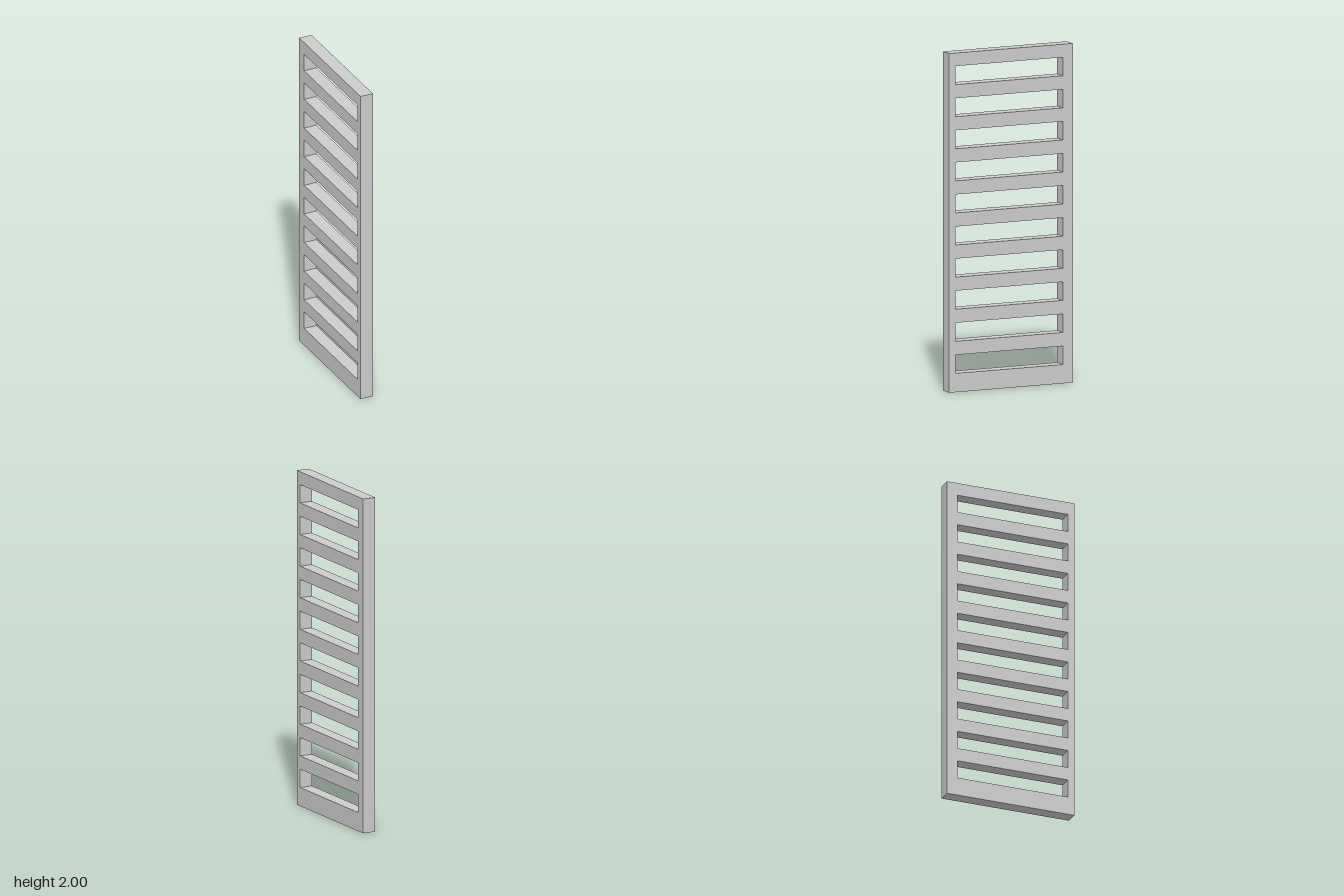
import * as THREE from 'three';

const WIDTH = 0.8, HEIGHT = 2, THICKNESS = 0.08;
const SLOTS = 10, SLOT_HEIGHT = 0.109, SLOT_PITCH = 0.1892, FIRST_SLOT = 0.111;

// Traces a rectangle on a Shape or Path
function rectangle(path, x0, y0, x1, y1) {
  path.moveTo(x0, y0);
  path.lineTo(x1, y0);
  path.lineTo(x1, y1);
  path.lineTo(x0, y1);
  path.closePath();
  return path;
}

export function createModel() {
  const group = new THREE.Group();
  group.name = 'slottedPanel';

  // Upright panel outline; shape x runs towards the back
  const outline = rectangle(new THREE.Shape(), -WIDTH / 2, 0, WIDTH / 2, HEIGHT);

  // Evenly stacked slots, set slightly towards the front edge
  for (let i = 0; i < SLOTS; i++) {
    const y = FIRST_SLOT + i * SLOT_PITCH;
    outline.holes.push(rectangle(new THREE.Path(), -0.36, y, 0.335, y + SLOT_HEIGHT));
  }

  const geometry = new THREE.ExtrudeGeometry(outline, { depth: THICKNESS, bevelEnabled: false });
  geometry.translate(0, 0, -THICKNESS / 2);
  geometry.rotateY(Math.PI / 2);

  const panel = new THREE.Mesh(geometry, new THREE.MeshStandardMaterial({ color: 0xcccccc }));
  panel.name = 'panel';
  group.add(panel);
  return group;
}
